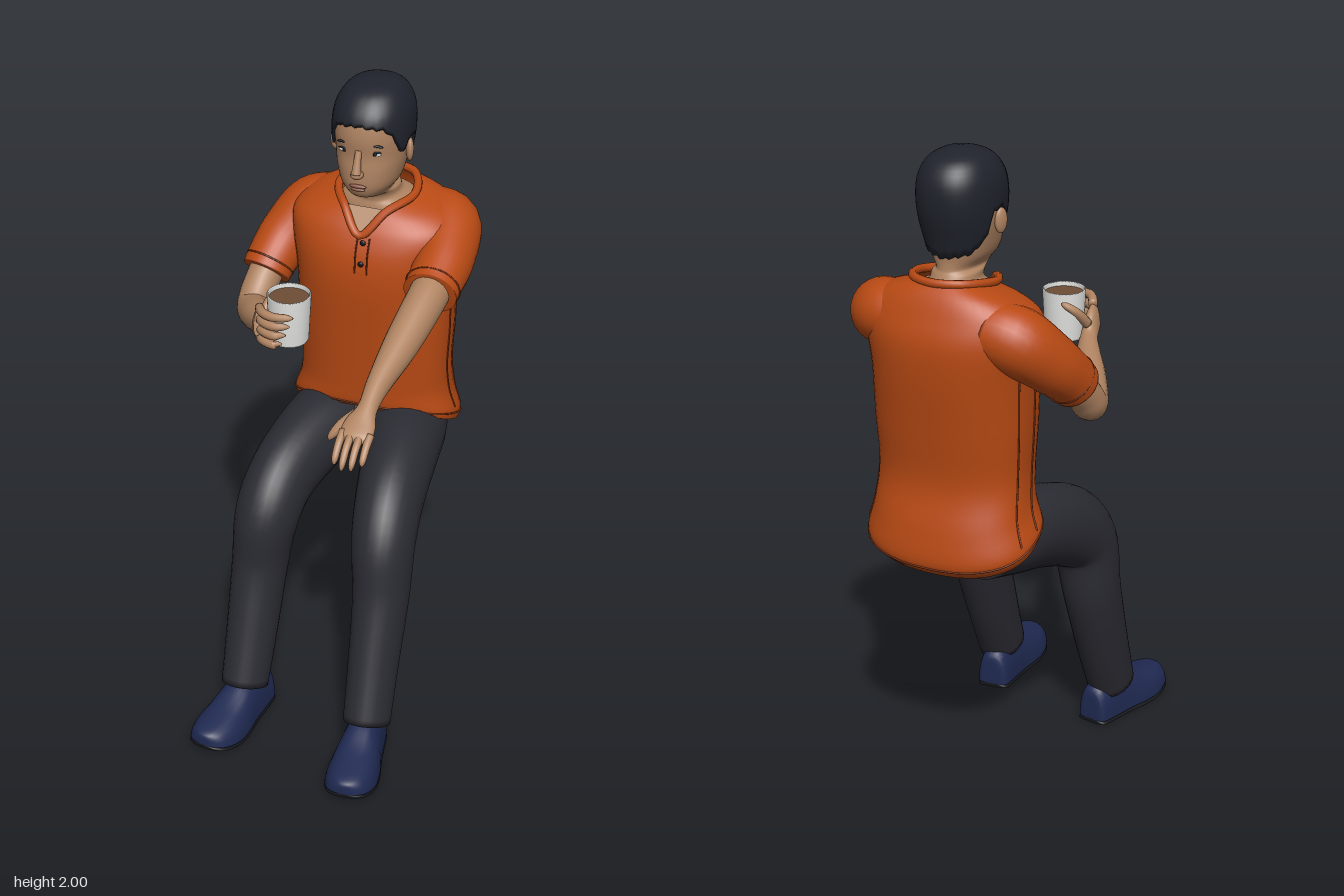
import * as THREE from 'three';

const mat = (name, color, side = THREE.FrontSide) => {
  const m = new THREE.MeshStandardMaterial({ color, side });
  m.name = name;
  return m;
};
const V = (x, y, z) => new THREE.Vector3(x, y, z);
const lerp = THREE.MathUtils.lerp;
const pw = (v, p) => Math.sign(v) * Math.abs(v) ** p;

// Catmull-Rom resampling of rows of numbers
function smooth(rows, steps) {
  const out = [], last = rows.length - 1;
  for (let i = 0; i < last; i++) {
    const [a, b, c, d] = [rows[Math.max(i - 1, 0)], rows[i], rows[i + 1], rows[Math.min(i + 2, last)]];
    for (let s = 0; s < steps; s++) {
      const t = s / steps;
      out.push(b.map((_, k) => b[k] + 0.5 * t * (c[k] - a[k] + t * (2 * a[k] - 5 * b[k] + 4 * c[k] - d[k]
        + t * (3 * (b[k] - c[k]) + d[k] - a[k])))));
    }
  }
  out.push(rows[last]);
  return out;
}

// Linear lookup in rows sorted by their first column
function lookup(rows, v) {
  let i = 0;
  while (i < rows.length - 2 && rows[i + 1][0] < v) i++;
  const t = THREE.MathUtils.clamp((v - rows[i][0]) / (rows[i + 1][0] - rows[i][0]), 0, 1);
  return rows[i].map((q, k) => lerp(q, rows[i + 1][k], t));
}

// Skin closed rings of points; faces are turned outward
function loft(rings, capStart = true, capEnd = true) {
  const n = rings[0].length, pts = rings.flat(), idx = [];
  for (let r = 0; r < rings.length - 1; r++)
    for (let i = 0; i < n; i++) {
      const a = r * n + i, b = r * n + (i + 1) % n;
      idx.push(a, b, b + n, a, b + n, a + n);
    }
  const cap = (r, flip) => {
    const c = pts.length;
    pts.push(rings[r].reduce((s, p) => s.add(p), V(0, 0, 0)).divideScalar(n));
    for (let i = 0; i < n; i++) {
      const a = r * n + i, b = r * n + (i + 1) % n;
      idx.push(c, flip ? b : a, flip ? a : b);
    }
  };
  if (capStart) cap(0, true);
  if (capEnd) cap(rings.length - 1, false);
  const mid = pts.reduce((s, p) => s.add(p), V(0, 0, 0)).divideScalar(pts.length);
  let vol = 0;
  for (let i = 0; i < idx.length; i += 3) {
    const [a, b, c] = [0, 1, 2].map(k => pts[idx[i + k]].clone().sub(mid));
    vol += a.dot(b.cross(c));
  }
  if (vol < 0) idx.reverse();
  const g = new THREE.BufferGeometry().setFromPoints(pts);
  g.setIndex(idx);
  g.computeVertexNormals();
  return g;
}

// Rounded sweep through rows of [x, y, z, sideRadius, otherRadius (same if left out)]
function limb(rows, ref = V(1, 0, 0), n = 20, steps = 6) {
  const s = smooth(rows.map(([x, y, z, a, b = a]) => [x, y, z, a, b]), steps);
  const P = s.map(r => V(r[0], r[1], r[2]));
  return loft(s.map((r, i) => {
    const t = P[Math.min(i + 1, P.length - 1)].clone().sub(P[Math.max(i - 1, 0)]).normalize();
    const u = ref.clone().addScaledVector(t, -ref.dot(t)).normalize(), v = t.clone().cross(u);
    return around(n, a => P[i].clone().addScaledVector(u, r[3] * Math.cos(a)).addScaledVector(v, r[4] * Math.sin(a)));
  }));
}

// One point of a level or tilted body section
function sectionPoint(a, x, w, zF, zB, yF, yB, e) {
  const z = (zF + zB) / 2 + (zF - zB) / 2 * pw(Math.cos(a), e);
  return V(x + w * pw(Math.sin(a), e), lerp(yB, yF, (z - zB) / (zF - zB)), z);
}
const around = (n, f) => Array.from({ length: n }, (_, i) => f(i / n * Math.PI * 2));

export function createModel() {
  const root = new THREE.Group();
  root.name = 'seatedPersonWithCup';
  const skin = mat('skin', 0xb08462), hairMat = mat('hair', 0x20232c), shirt = mat('shirt', 0xb94a14, THREE.DoubleSide);
  const seam = mat('shirtSeam', 0x7c300e), pants = mat('trousers', 0x2b2b33), shoeMat = mat('shoe', 0x202a52);
  const soleMat = mat('sole', 0x15161b), white = mat('porcelain', 0xe2e2e0, THREE.DoubleSide);
  const coffee = mat('coffee', 0x6e4e36), lip = mat('lips', 0x8a5a48);
  const add = (name, geo, m, parent = root) => {
    const mesh = new THREE.Mesh(geo, m);
    mesh.name = name;
    parent.add(mesh);
    return mesh;
  };
  const blob = (name, m, x, y, z, rx, ry, rz) => {
    const b = add(name, new THREE.SphereGeometry(1, 20, 14), m);
    b.position.set(x, y, z);
    b.scale.set(rx, ry, rz);
    return b;
  };

  // Head and neck: [y, front z, back z, half width]
  const cx = 0.03;
  const headRows = smooth([
    [1.53, -0.25, -0.47, 0.15], [1.6, -0.262, -0.475, 0.115], [1.625, -0.265, -0.44, 0.075], [1.65, -0.25, -0.425, 0.07],
    [1.665, -0.195, -0.42, 0.062], [1.7, -0.175, -0.42, 0.086], [1.75, -0.172, -0.43, 0.1], [1.8, -0.175, -0.445, 0.108],
    [1.86, -0.17, -0.455, 0.112], [1.92, -0.182, -0.45, 0.105], [1.965, -0.22, -0.42, 0.08], [1.985, -0.265, -0.375, 0.045],
    [1.992, -0.315, -0.325, 0.005]], 5);
  const headPoint = (a, y, grow = 0) => {
    const [, f, b, w] = lookup(headRows, y);
    return sectionPoint(a, cx, w + grow, f + grow, b - grow, y, y, 0.92);
  };
  add('headAndNeck', loft(headRows.map(r => around(40, a => headPoint(a, r[0])))), skin);

  // Cropped hair: [angle share from the front, hairline height]
  const hairline = [[0, 1.905], [0.2, 1.895], [0.29, 1.865], [0.36, 1.805], [0.42, 1.81], [0.46, 1.84], [0.56, 1.83],
    [0.62, 1.76], [0.75, 1.715], [1, 1.7]];
  add('hair', loft(Array.from({ length: 19 }, (_, k) => around(72, a => {
    const low = lookup(hairline, 1 - Math.abs(a / Math.PI - 1))[1] + 0.004 * Math.sin(a * 24);
    const y = lerp(low, 1.992, Math.sin(k / 18 * Math.PI / 2));
    const p = headPoint(a, y, 0.009);
    p.y += 0.008 * k / 18;
    return p;
  }))), hairMat);

  // Face
  blob('noseTip', skin, cx, 1.752, -0.163, 0.02, 0.014, 0.02);
  add('noseBridge', limb([[cx, 1.825, -0.175, 0.009], [cx, 1.785, -0.164, 0.012], [cx, 1.755, -0.156, 0.015]]), skin);
  blob('upperLip', lip, cx, 1.71, -0.172, 0.027, 0.006, 0.007);
  blob('lowerLip', lip, cx, 1.699, -0.173, 0.022, 0.006, 0.007);
  for (const s of [-1, 1]) {
    const x = cx + s * 0.047;
    blob('eyeWhite', white, x, 1.815, -0.189, 0.019, 0.007, 0.005);
    blob('iris', soleMat, x, 1.816, -0.186, 0.007, 0.007, 0.005);
    blob('upperLid', hairMat, x, 1.822, -0.187, 0.021, 0.003, 0.005);
    blob('eyebrow', hairMat, x, 1.843, -0.187, 0.026, 0.004, 0.007).rotation.z = -s * 0.1;
    blob('ear', skin, cx + s * 0.116, 1.795, -0.3, 0.012, 0.038, 0.022).rotation.y = s * 0.35;
  }

  // Shirt body: [front y, back y, front z, back z, right x, left x]
  const torsoRows = smooth([
    [0.925, 0.77, -0.215, -0.53, -0.235, 0.29], [0.945, 0.81, -0.205, -0.562, -0.24, 0.295],
    [1.0, 0.91, -0.2, -0.548, -0.215, 0.275], [1.08, 1.04, -0.193, -0.517, -0.205, 0.27], [1.2, 1.2, -0.182, -0.533, -0.213, 0.275],
    [1.36, 1.37, -0.168, -0.555, -0.22, 0.275], [1.46, 1.48, -0.175, -0.558, -0.235, 0.29],
    [1.53, 1.555, -0.2, -0.535, -0.235, 0.295], [1.573, 1.61, -0.228, -0.51, -0.18, 0.24],
    [1.6, 1.645, -0.25, -0.48, -0.09, 0.15]], 5);
  const torsoPoint = (r, a) =>
    sectionPoint(a, (r[4] + r[5]) / 2, (r[5] - r[4]) / 2, r[2], r[3], r[0], r[1], 0.85);
  add('shirtBody', loft(torsoRows.map(r => around(48, a => torsoPoint(r, a))), false, false), shirt);

  const line = (name, pts, r, m, closed = false) =>
    add(name, new THREE.TubeGeometry(new THREE.CatmullRomCurve3(pts, closed), 60, r, 8, closed), m);
  for (const a of [1.5, 1.85, -1.5, -1.85])
    line('sideSeam', torsoRows.slice(6, 28).map(r => torsoPoint(r, a)), 0.003, seam);
  line('hemStitch', around(40, a => torsoPoint(torsoRows[4], a)), 0.003, seam, true);

  // Open collar with placket and buttons
  const vee = new THREE.Shape([[-0.06, 0.088], [0, 0], [0.06, 0.088]].map(p => new THREE.Vector2(...p)));
  const neckOpening = add('neckOpening', new THREE.ShapeGeometry(vee), skin);
  neckOpening.position.set(cx, 1.54, -0.188);
  neckOpening.rotation.x = -0.62;
  const half = [[0.065, 1.605, -0.238], [0.12, 1.628, -0.34], [0.08, 1.645, -0.455]];
  const collarSide = s => half.map(([x, y, z]) => V(cx + s * x, y, z));
  line('collar', [V(cx, 1.538, -0.19), ...collarSide(1), V(cx, 1.645, -0.482), ...collarSide(-1).reverse()], 0.013, shirt, true);
  for (const x of [0.022, 0.06])
    line('placketSeam', [V(x, 1.53, -0.197), V(x, 1.48, -0.176), V(x, 1.42, -0.169)], 0.0025, seam);
  for (const [y, z] of [[1.515, -0.189], [1.452, -0.171]]) blob('button', soleMat, 0.041, y, z, 0.009, 0.009, 0.005);

  // Sleeves with stitched cuffs
  const sleeves = {
    left: [[0.15, 1.525, -0.44, 0.08, 0.085], [0.235, 1.51, -0.41, 0.1, 0.098], [0.268, 1.46, -0.29, 0.09, 0.093],
      [0.27, 1.425, -0.19, 0.084, 0.08], [0.27, 1.412, -0.145, 0.083, 0.073]],
    right: [[-0.11, 1.52, -0.44, 0.08, 0.085], [-0.195, 1.49, -0.415, 0.1, 0.1], [-0.26, 1.42, -0.35, 0.088, 0.09],
      [-0.288, 1.36, -0.285, 0.08, 0.08], [-0.298, 1.325, -0.25, 0.076, 0.076]],
  };
  for (const side in sleeves) {
    const rows = sleeves[side], [x, y, z, rx, ry] = rows[4];
    const d = V(x, y, z).sub(V(...rows[3].slice(0, 3))).normalize();
    add(side + 'Sleeve', limb(rows, V(1, 0, 0), 28), shirt);
    const cuff = add(side + 'CuffSeam', new THREE.TorusGeometry(1, 0.035, 6, 36), seam);
    cuff.position.set(x, y, z).addScaledVector(d, -0.03);
    cuff.scale.set(rx + 0.001, ry + 0.003, 0.08);
    cuff.quaternion.setFromUnitVectors(V(0, 0, 1), d);
  }

  // Left arm reaching forward with an open hand
  add('leftArm', limb([[0.272, 1.44, -0.24, 0.06], [0.268, 1.405, -0.12, 0.06, 0.063], [0.25, 1.338, 0.05, 0.053, 0.055],
    [0.234, 1.283, 0.2, 0.036, 0.04], [0.232, 1.25, 0.285, 0.03, 0.027], [0.228, 1.225, 0.335, 0.047, 0.021],
    [0.228, 1.205, 0.375, 0.05, 0.017], [0.228, 1.195, 0.39, 0.04, 0.008]]), skin);
  [0.9, 1.05, 1, 0.8].forEach((l, i) => {
    const x = 0.188 + i * 0.027;
    add('leftFinger', limb([[x, 1.212, 0.365, 0.013], [x, 1.19, 0.365 + 0.045 * l, 0.012],
      [x, 1.19 - 0.035 * l, 0.365 + 0.078 * l, 0.01], [x, 1.19 - 0.052 * l, 0.365 + 0.086 * l, 0.003]], V(1, 0, 0), 10, 4), skin);
  });
  add('leftThumb', limb([[0.205, 1.235, 0.3, 0.017], [0.168, 1.205, 0.325, 0.016], [0.145, 1.175, 0.345, 0.012],
    [0.138, 1.16, 0.35, 0.003]], V(0, 0, 1), 10, 4), skin);

  // Right arm bent to hold the cup
  add('rightArm', limb([[-0.285, 1.38, -0.3, 0.055], [-0.307, 1.285, -0.215, 0.054], [-0.306, 1.24, -0.165, 0.052],
    [-0.25, 1.277, -0.06, 0.048], [-0.2, 1.315, 0.03, 0.036], [-0.175, 1.34, 0.085, 0.026, 0.03],
    [-0.166, 1.375, 0.13, 0.02, 0.045], [-0.155, 1.39, 0.165, 0.012, 0.04]]), skin);
  for (let i = 0; i < 4; i++) {
    const y = 1.435 - i * 0.031, x = -0.035 - i * 0.012;
    add('rightFinger', limb([[-0.162, y - 0.01, 0.135, 0.014], [-0.135, y, 0.178, 0.014], [-0.095, y + 0.002, 0.196, 0.013],
      [x - 0.02, y + 0.004, 0.192, 0.011], [x, y + 0.005, 0.187, 0.003]], V(0, 1, 0), 10, 4), skin);
  }
  add('rightThumb', limb([[-0.168, 1.38, 0.085, 0.016], [-0.155, 1.42, 0.05, 0.014], [-0.125, 1.445, 0.03, 0.011],
    [-0.11, 1.45, 0.028, 0.003]], V(0, 0, 1), 10, 4), skin);

  // Cup and drink
  const cup = add('cup', new THREE.LatheGeometry([[0, 0], [0.054, 0], [0.058, 0.008], [0.066, 0.152], [0.063, 0.155],
    [0.06, 0.152], [0.055, 0.012], [0, 0.012]].map(p => new THREE.Vector2(...p)), 40), white);
  cup.position.set(-0.08, 1.318, 0.105);
  add('drink', new THREE.CylinderGeometry(0.0605, 0.058, 0.006, 40), coffee, cup).position.y = 0.138;

  // Trousers: hips and two bent legs
  blob('hips', pants, cx, 0.83, -0.37, 0.235, 0.115, 0.165);
  const legs = {
    left: [[0.13, 0.83, -0.43, 0.115, 0.095], [0.15, 0.825, -0.3, 0.13, 0.12], [0.18, 0.808, -0.16, 0.117, 0.128],
      [0.205, 0.755, 0, 0.105, 0.127], [0.222, 0.665, 0.1, 0.098, 0.113], [0.234, 0.5, 0.15, 0.087, 0.102],
      [0.24, 0.3, 0.228, 0.078, 0.094], [0.247, 0.125, 0.305, 0.073, 0.084]],
    right: [[-0.07, 0.83, -0.43, 0.115, 0.095], [-0.09, 0.825, -0.3, 0.13, 0.12], [-0.12, 0.808, -0.17, 0.117, 0.128],
      [-0.152, 0.755, -0.015, 0.105, 0.127], [-0.168, 0.665, 0.08, 0.1, 0.113], [-0.184, 0.5, 0.105, 0.088, 0.102],
      [-0.186, 0.3, 0.172, 0.08, 0.094], [-0.186, 0.115, 0.245, 0.073, 0.084]],
  };
  for (const side in legs) add(side + 'TrouserLeg', limb(legs[side], V(1, 0, 0), 28), pants);

  // Slip-on shoes: [z, half width, height]
  const shoeRows = smooth([[-0.112, 0.03, 0.09], [-0.1, 0.05, 0.12], [-0.04, 0.058, 0.145], [0.03, 0.065, 0.14],
    [0.1, 0.077, 0.112], [0.17, 0.08, 0.088], [0.225, 0.064, 0.066], [0.25, 0.035, 0.05], [0.256, 0.006, 0.035]], 4);
  const shoeLoft = (grow, floor, rise) => loft(shoeRows.map(([z, w, h]) => {
    const lift = 0.004 + 0.5 * Math.max(0, z - 0.12) ** 1.5;
    return around(28, a => V((w + grow) * pw(Math.cos(a), 0.8),
      lift + Math.max(floor, rise(h) * pw(Math.max(Math.sin(a), 0), 0.8)), z));
  }));
  for (const [side, x, z, yaw] of [['left', 0.24, 0.31, 0.11], ['right', -0.185, 0.248, -0.16]]) {
    const shoe = new THREE.Group();
    shoe.name = side + 'Shoe';
    shoe.position.set(x, 0, z);
    shoe.rotation.y = yaw;
    add('shoeUpper', shoeLoft(0, 0.012, h => h), shoeMat, shoe);
    add('shoeSole', shoeLoft(0.001, 0, () => 0.014), soleMat, shoe);
    root.add(shoe);
  }
  return root;
}
